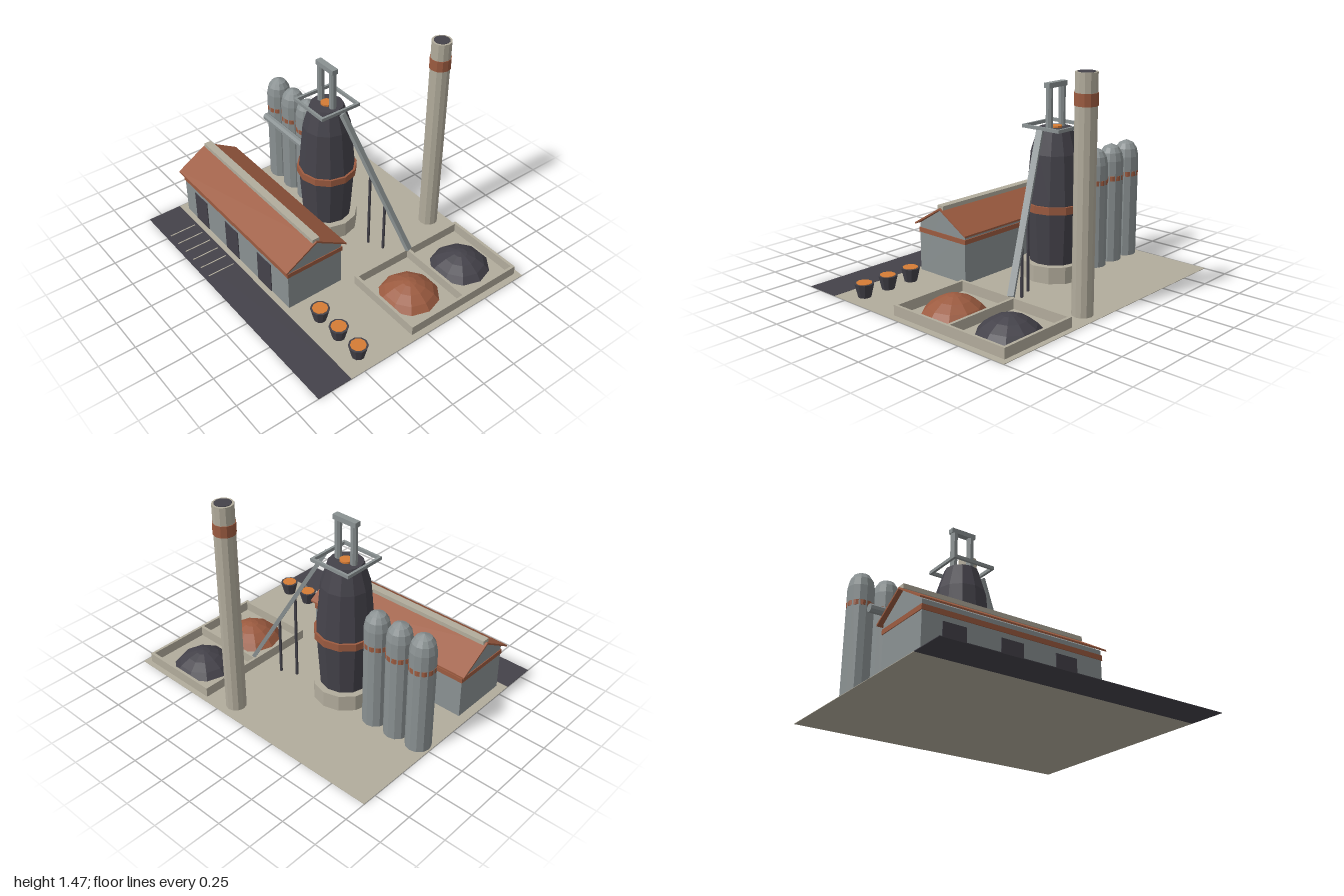
import * as THREE from 'three';

export function createModel() {
  const model = new THREE.Group();
  const mat = (name, color) => {
    const m = new THREE.MeshStandardMaterial({ color, flatShading: true });
    m.name = name;
    return m;
  };
  const concrete = mat('concrete', 0xb2ac9c);
  const dark = mat('dark iron', 0x44424a);
  const grey = mat('grey steel', 0x8a9192);
  const rust = mat('rust red', 0x9c5b40);
  const molten = mat('molten orange', 0xd57c35);

  const add = (name, geo, material, x = 0, y = 0, z = 0, parent = model) => {
    const m = new THREE.Mesh(geo, material);
    m.name = name;
    m.position.set(x, y, z);
    parent.add(m);
    return m;
  };
  // Box given by its extents
  const box = (name, material, x0, x1, y0, y1, z0, z1) =>
    add(name, new THREE.BoxGeometry(x1 - x0, y1 - y0, z1 - z0), material,
      (x0 + x1) / 2, (y0 + y1) / 2, (z0 + z1) / 2);
  // Upright cylinder from y0 to y1
  const cyl = (name, material, x, z, y0, y1, rBottom, rTop = rBottom, sides = 12, turn = 0) => {
    const m = add(name, new THREE.CylinderGeometry(rTop, rBottom, y1 - y0, sides), material, x, (y0 + y1) / 2, z);
    m.rotation.y = turn;
    return m;
  };
  const lathe = (name, material, x, z, points, sides = 12) =>
    add(name, new THREE.LatheGeometry(points.map(p => new THREE.Vector2(...p)), sides), material, x, 0, z);
  // Shape of (depth, height) points drawn out along x
  const alongX = (name, material, points, x0, x1, z) => {
    const shape = new THREE.Shape(points.map(p => new THREE.Vector2(...p)));
    const geo = new THREE.ExtrudeGeometry(shape, { depth: x1 - x0, bevelEnabled: false });
    return add(name, geo.rotateY(Math.PI / 2), material, x0, 0, z);
  };

  // Ground, road and road markings
  box('ground', concrete, -1, 1, 0, 0.003, -0.845, 0.6);
  box('road', dark, -1, 1, 0, 0.004, 0.6, 0.845);
  for (let i = 0; i < 6; i++) {
    const x = -0.755 + i * 0.1;
    box('roadMarking', concrete, x - 0.004, x + 0.004, 0.004, 0.006, 0.62, 0.815);
  }

  // Casting hall with gabled roof
  alongX('hallWalls', grey,
    [[-0.21, 0.002], [0.21, 0.002], [0.21, 0.333], [0, 0.463], [-0.21, 0.333]], -0.94, 0.305, 0.35);
  alongX('hallRoof', rust,
    [[-0.235, 0.324], [0, 0.464], [0.235, 0.324], [0.235, 0.336], [0, 0.477], [-0.235, 0.336]], -0.97, 0.328, 0.35);
  box('ridgeVent', concrete, -0.955, 0.318, 0.465, 0.493, 0.323, 0.377);
  box('hallBand', rust, -0.945, 0.31, 0.27, 0.302, 0.134, 0.566);
  for (const x of [-0.733, -0.348, 0.037]) box('hallDoor', dark, x - 0.077, x + 0.077, 0.004, 0.235, 0.558, 0.565);

  // Blast furnace on its plinth
  const fx = -0.235, fz = -0.155;
  cyl('furnacePlinth', concrete, fx, fz, 0.002, 0.115, 0.21);
  lathe('furnaceBody', dark, fx, fz,
    [[0.165, 0.1], [0.19, 0.47], [0.19, 0.52], [0.162, 0.84], [0.112, 1.0], [0, 1.0]]);
  cyl('furnaceBand', rust, fx, fz, 0.465, 0.515, 0.205);
  cyl('furnaceGlow', molten, fx, fz, 0.99, 1.012, 0.042);

  // Square top platform and charging hoist
  const square = (Ctor, s) => new Ctor([[-s, -s], [s, -s], [s, s], [-s, s]].map(p => new THREE.Vector2(...p)));
  const frame = square(THREE.Shape, 0.153);
  frame.holes.push(square(THREE.Path, 0.136));
  add('topPlatform', new THREE.ExtrudeGeometry(frame, { depth: 0.022, bevelEnabled: false }).rotateX(-Math.PI / 2),
    grey, fx, 1.0, fz);
  for (const s of [-1, 1]) cyl('hoistLeg', grey, fx + s * 0.063, fz, 0.99, 1.265, 0.024, 0.024, 8, Math.PI / 8);
  box('hoistBeam', grey, fx - 0.09, fx + 0.09, 1.262, 1.295, fz - 0.022, fz + 0.022);

  // Inclined skip conveyor and its posts
  const top = new THREE.Vector3(-0.075, 1.0, -0.16), foot = new THREE.Vector3(0.41, 0.08, -0.355);
  const conveyor = add('conveyor', new THREE.BoxGeometry(0.042, 0.026, top.distanceTo(foot)), grey);
  conveyor.position.addVectors(top, foot).multiplyScalar(0.5);
  conveyor.lookAt(foot);
  for (const t of [0.41, 0.63]) {
    const p = new THREE.Vector3().lerpVectors(top, foot, t);
    cyl('conveyorPost', dark, p.x, p.z, 0.002, p.y, 0.01, 0.01, 6);
  }

  // Hot stoves with broken rust bands, joined by a pipe to the furnace
  for (const x of [-0.907, -0.734, -0.561]) {
    lathe('stove', grey, x, -0.235,
      [[0.084, 0.002], [0.084, 0.71], [0.073, 0.765], [0.05, 0.8], [0, 0.823]]);
    cyl('stoveBand', rust, x, -0.235, 0.575, 0.608, 0.0855, 0.0855, 12, Math.PI / 12);
  }
  const pipe = cyl('hotBlastPipe', grey, -0.655, -0.118, 0, 0.5, 0.028, 0.028, 8, 0);
  pipe.geometry.rotateY(Math.PI / 8).rotateZ(Math.PI / 2);
  pipe.position.y = 0.546;

  // Chimney
  cyl('chimney', concrete, 0.19, -0.732, 0.002, 1.463, 0.067);
  cyl('chimneyBand', rust, 0.19, -0.732, 1.27, 1.345, 0.071);
  cyl('chimneyMouth', dark, 0.19, -0.732, 1.455, 1.466, 0.053);

  // Stockyard walls and ore piles
  for (const z of [-0.81, -0.372, 0.068]) box('yardWall', concrete, 0.385, 0.957, 0.002, 0.07, z, z + 0.02);
  for (const x of [0.385, 0.939]) box('yardSideWall', concrete, x, x + 0.018, 0.002, 0.07, -0.79, 0.068);
  for (const [name, material, z] of [['coalPile', dark, -0.585], ['orePile', rust, -0.135]]) {
    lathe(name, material, 0.671, z,
      [[0.203, 0.002], [0.165, 0.045], [0.105, 0.085], [0.045, 0.11], [0, 0.118]], 10).rotation.y = Math.PI / 2;
  }

  // Ladles of molten metal
  for (const x of [0.496, 0.688, 0.88]) {
    cyl('ladle', dark, x, 0.455, 0.002, 0.094, 0.042, 0.064, 10);
    cyl('ladleMelt', molten, x, 0.455, 0.09, 0.097, 0.051, 0.051, 10);
  }
  return model;
}
